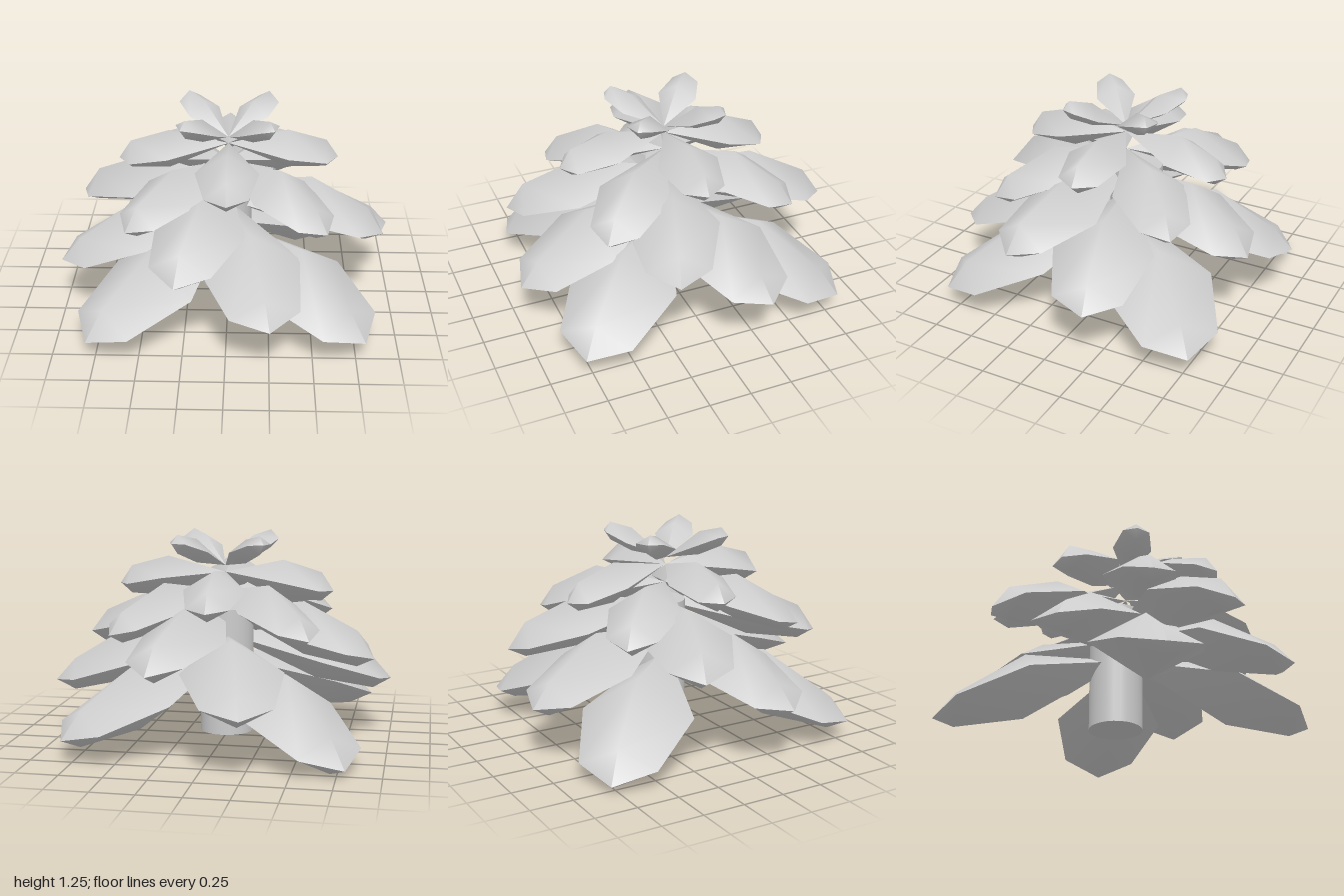
import * as THREE from 'three';

const material = new THREE.MeshStandardMaterial({ color: 0xcccccc });

// Stations along a frond from its root to its tip, and its relative half-width there
const STATIONS = [0, 0.54, 0.89, 1];
const WIDTHS = [0, 1, 0.68, 0];

// Whorls from crown to skirt: heights of ridge, rim and keel at the two inner stations;
// lift raises or lowers the tips of the single fronds
const WHORLS = [
  { name: 'crownFrond', length: 0.385, width: 0.12, angle: 45, root: 1.06, tip: 1.21,
    ridge: [1.23, 1.26], rim: [1.16, 1.21], keel: [1.09, 1.15], lift: [0, 0, 0, 0] },
  { name: 'upperFrond', length: 0.655, width: 0.185, angle: 0, root: 1.02, tip: 0.92,
    ridge: [1.10, 1.03], rim: [0.985, 0.93], keel: [0.86, 0.86], lift: [0.02, 0, 0, -0.06] },
  { name: 'innerFrond', length: 0.81, width: 0.22, angle: 45, root: 0.91, tip: 0.71,
    ridge: [0.985, 0.84], rim: [0.84, 0.75], keel: [0.71, 0.66], lift: [0, 0, 0, 0] },
  { name: 'middleFrond', length: 0.96, width: 0.27, angle: 17, root: 0.79, tip: 0.55,
    ridge: [0.865, 0.71], rim: [0.69, 0.6], keel: [0.55, 0.5], lift: [0.02, 0, 0.02, 0] },
  { name: 'lowerFrond', length: 1.03, width: 0.3, angle: -14, root: 0.64, tip: 0.35,
    ridge: [0.70, 0.48], rim: [0.51, 0.39], keel: [0.36, 0.29], lift: [0.02, -0.02, 0, 0] },
  { name: 'skirtFrond', length: 1.13, width: 0.33, angle: 45, root: 0.5, tip: 0.1,
    ridge: [0.52, 0.26], rim: [0.31, 0.16], keel: [0.11, 0.05], lift: [0.04, 0.02, -0.05, 0.04] },
];

// One half of a frond: a folded sheet from rim over the centre line to the other rim.
// side +1 faces up, -1 faces down
function frondShell(whorl, lift, side) {
  const heights = (list) => [whorl.root, ...list, whorl.tip];
  const centre = heights(side > 0 ? whorl.ridge : whorl.keel);
  const rim = heights(whorl.rim);
  const positions = [];
  const index = [];
  STATIONS.forEach((t, i) => {
    for (const j of [-1, 0, 1]) {
      const y = (j === 0 ? centre[i] : rim[i]) + lift * t;
      positions.push(t * whorl.length, y, j * side * WIDTHS[i] * whorl.width);
    }
  });
  const last = STATIONS.length - 2;
  for (let i = 0; i <= last; i++) {
    for (let j = 0; j < 2; j++) {
      const a = i * 3 + j, b = a + 1, d = a + 3, c = a + 4;
      // The outline closes to a point at the root and the tip
      if (i > 0) index.push(a, b, c);
      if (i < last) index.push(a, c, d);
    }
  }
  const geometry = new THREE.BufferGeometry();
  geometry.setAttribute('position', new THREE.Float32BufferAttribute(positions, 3));
  geometry.setIndex(index);
  geometry.computeVertexNormals();
  return geometry;
}

// Closed frond with a sharp rim, pointing along +x
function frond(whorl, lift) {
  const group = new THREE.Group();
  for (const side of [1, -1]) {
    const mesh = new THREE.Mesh(frondShell(whorl, lift, side), material);
    mesh.name = side > 0 ? 'frondTop' : 'frondUnderside';
    group.add(mesh);
  }
  group.name = whorl.name;
  return group;
}

export function createModel() {
  const model = new THREE.Group();
  model.name = 'tree';

  // Trunk, slightly off centre
  const trunk = new THREE.Mesh(new THREE.CylinderGeometry(0.16, 0.16, 0.76, 24), material);
  trunk.name = 'trunk';
  trunk.position.set(-0.02, 0.44, -0.06);
  model.add(trunk);

  // Four fronds in every whorl
  for (const whorl of WHORLS) {
    whorl.lift.forEach((lift, k) => {
      const leaf = frond(whorl, lift);
      leaf.rotation.y = -THREE.MathUtils.degToRad(whorl.angle + k * 90);
      model.add(leaf);
    });
  }
  return model;
}
